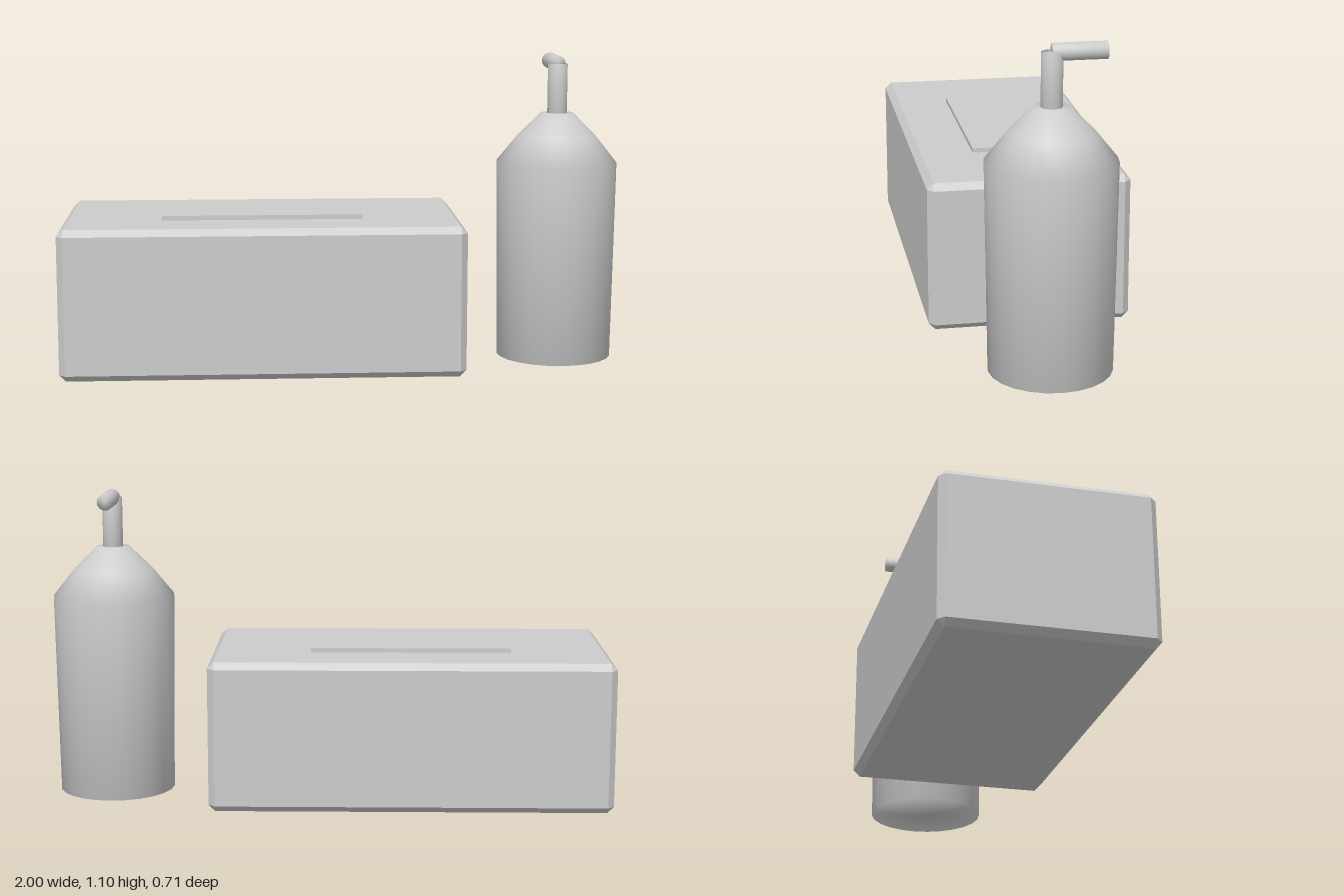
import * as THREE from 'three';
import { ConvexGeometry } from 'three/addons/geometries/ConvexGeometry.js';

// Box with flat chamfers on every edge and corner
function chamferedBox(w, h, d, c) {
  const points = [];
  for (const sx of [-1, 1]) for (const sy of [-1, 1]) for (const sz of [-1, 1]) {
    const x = w / 2, y = h / 2, z = d / 2;
    points.push(
      new THREE.Vector3(sx * x, sy * (y - c), sz * (z - c)),
      new THREE.Vector3(sx * (x - c), sy * y, sz * (z - c)),
      new THREE.Vector3(sx * (x - c), sy * (y - c), sz * z)
    );
  }
  return new ConvexGeometry(points);
}

// Closed turned solid with soft shading across its edges
function turned(profile, sides) {
  return new THREE.LatheGeometry(profile.map(([r, y]) => new THREE.Vector2(r, y)), sides);
}

const rod = (r, length, sides) => turned([[0, 0], [r, 0], [r, length], [0, length]], sides);

export function createModel() {
  const model = new THREE.Group();
  const grey = new THREE.MeshStandardMaterial({ color: 0xcccccc });
  grey.name = 'light grey';

  function add(parent, name, geometry, x, y, z) {
    const mesh = new THREE.Mesh(geometry, grey);
    mesh.name = name;
    mesh.position.set(x, y, z);
    parent.add(mesh);
    return mesh;
  }

  // Tissue box with a raised panel on its lid
  const box = new THREE.Group();
  box.name = 'tissueBox';
  box.position.x = -0.29;
  add(box, 'boxBody', chamferedBox(1.42, 0.533, 0.71, 0.023), 0, 0.2665, 0);
  add(box, 'openingPanel', new THREE.BoxGeometry(0.71, 0.022, 0.295), 0, 0.538, 0);

  // Pump bottle: tapered body, upright stem, spout pointing back
  const bottle = new THREE.Group();
  bottle.name = 'pumpBottle';
  bottle.position.x = 0.782;
  add(bottle, 'bottleBody', turned([
    [0, 0], [0.208, 0], [0.218, 0.715], [0.14, 0.812], [0.059, 0.893], [0, 0.893]
  ], 24), 0, 0, 0);
  add(bottle, 'pumpStem', rod(0.036, 0.19, 16), 0, 0.88, 0);
  const spout = add(bottle, 'spout', rod(0.029, 0.178, 16), 0, 1.07, 0);
  spout.rotation.x = -Math.PI / 2;

  model.add(box, bottle);
  return model;
}
